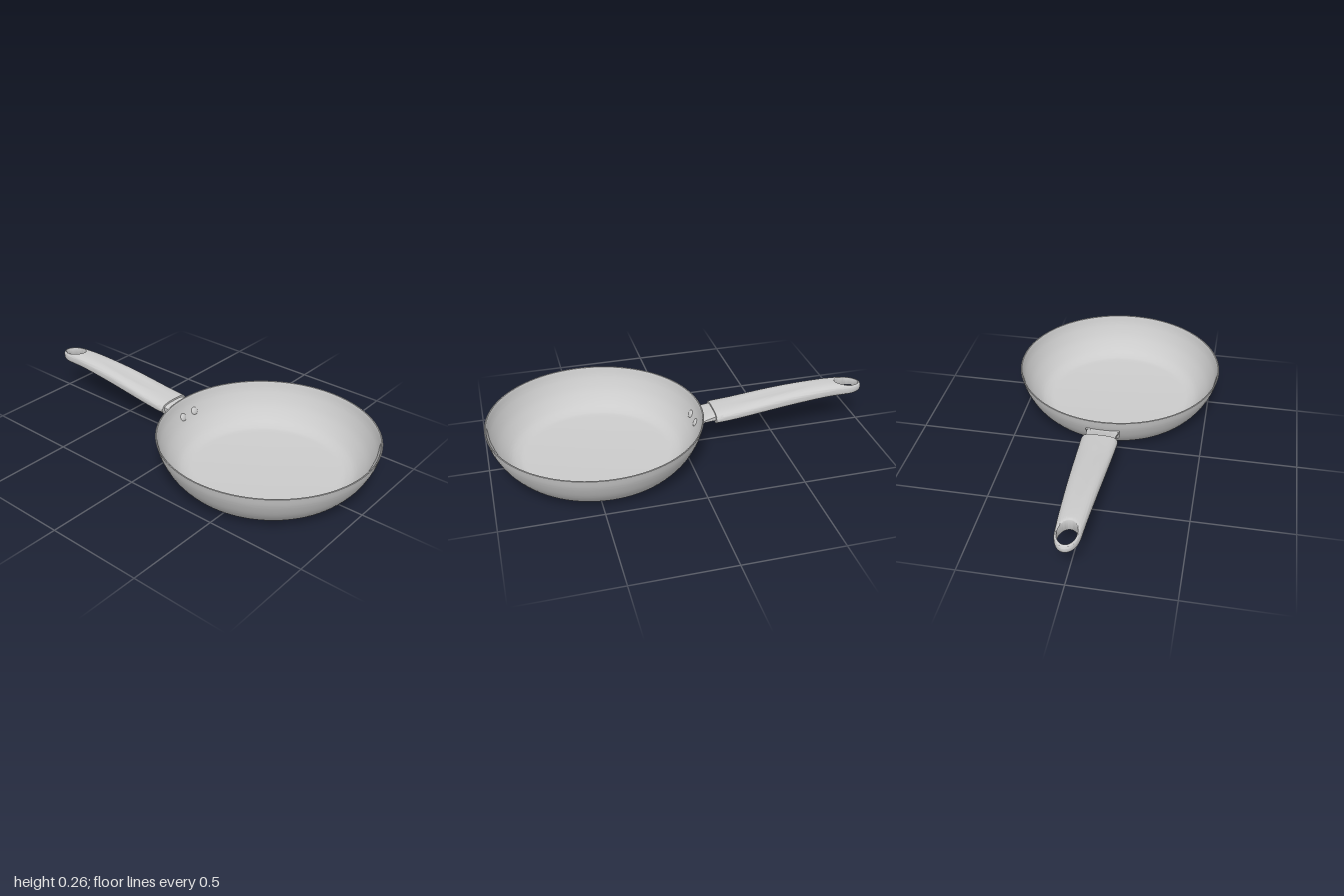
import * as THREE from 'three';
import { toCreasedNormals } from 'three/addons/utils/BufferGeometryUtils.js';

const CENTRE_Z = 0.45; // bowl axis
const V2 = (x, y) => new THREE.Vector2(x, y);
const { lerp } = THREE.MathUtils;

// Outer wall of the bowl as (radius, height)
const wall = new THREE.SplineCurve([
  V2(0.37, 0.005), V2(0.405, 0.013), V2(0.45, 0.04), V2(0.5, 0.1), V2(0.535, 0.17), V2(0.55, 0.225),
]).getPoints(40);

// Linear lookup in a list of [key, value] pairs with rising keys
function lookup(table, key) {
  let i = 1;
  while (i < table.length - 1 && table[i][0] < key) i++;
  const [k0, v0] = table[i - 1], [k1, v1] = table[i];
  return lerp(v0, v1, THREE.MathUtils.clamp((key - k0) / (k1 - k0), 0, 1));
}
const wallTable = wall.map((p) => [p.y, p.x]);
const wallRadius = (y) => lookup(wallTable, y);

function moveVertices(geometry, rule) {
  const p = geometry.attributes.position, v = new THREE.Vector3();
  for (let i = 0; i < p.count; i++) {
    rule(v.fromBufferAttribute(p, i));
    p.setXYZ(i, v.x, v.y, v.z);
  }
  geometry.computeVertexNormals();
  return toCreasedNormals(geometry, 0.7);
}

// One closed profile: grooved base, outer wall, rim, inner wall, floor
function bowlGeometry() {
  const pts = [V2(0, 0)];
  const rings = 8, pitch = 0.25 / rings;
  for (let i = 0; i < rings; i++) {
    const r = 0.11 + i * pitch, y = r > 0.25 ? 0.002 : 0;
    pts.push(V2(r, y), V2(r + 0.003, y + 0.007), V2(r + 0.01, y + 0.007), V2(r + 0.013, y));
  }
  pts.push(...wall);
  pts.push(V2(0.547, 0.227), V2(0.543, 0.225));
  for (let i = wall.length - 2; i > 0; i--) {
    const t = i / (wall.length - 1);
    pts.push(V2(wall[i].x - 0.008 - 0.002 * (1 - t), wall[i].y + 0.012 * (1 - t)));
  }
  pts.push(V2(0.35, 0.016), V2(0, 0.016));
  return toCreasedNormals(new THREE.LatheGeometry(pts, 96), 0.5);
}

// Handle: plan outline and hanging hole joined by a domed ring of sections
function handleGeometry() {
  const tipZ = -0.9, buttZ = -0.165, holeZ = -0.918, holeX = 0.045, holeR = 0.067;
  const halfWidth = (z) => {
    const t = (Math.max(z, tipZ) - tipZ) / (buttZ - tipZ);
    return 0.06 + 0.033 * t + 0.008 * t * (1 - t);
  };
  const spline = (ys) => {
    const c = new THREE.SplineCurve(ys.map(([z, y]) => V2(z, y))).getPoints(60);
    const table = c.map((p) => [p.x, p.y]);
    return (z) => lookup(table, z);
  };
  const topY = spline([[-1, 0.246], [-0.9, 0.253], [-0.78, 0.255], [-0.6, 0.246], [-0.45, 0.231], [-0.3, 0.211], [-0.165, 0.197]]);
  const lowY = spline([[-1, 0.187], [-0.9, 0.187], [-0.78, 0.189], [-0.6, 0.177], [-0.45, 0.163], [-0.3, 0.148], [-0.165, 0.138]]);

  // Right half of the outline, each point paired with an angle on the hole
  const half = [];
  for (let i = 0; i <= 14; i++) {
    const a = (i / 14) * Math.PI / 2;
    half.push([0.06 * Math.sin(a), tipZ - 0.1 * Math.cos(a), a]);
  }
  for (let i = 1; i <= 30; i++) {
    const z = lerp(tipZ, buttZ, i / 30);
    half.push([halfWidth(z), z, Math.PI * (0.5 + 0.33 * i / 30)]);
  }
  for (let i = 1; i <= 8; i++) {
    half.push([halfWidth(buttZ) * (1 - i / 8), buttZ, Math.PI * (0.83 + 0.17 * i / 8)]);
  }
  const ring = [...half, ...half.slice(1, -1).reverse().map(([x, z, a]) => [-x, z, -a])];

  // Height of the upper or lower skin over a plan point
  function skin(x, z, upper) {
    const s = Math.min(1, Math.hypot(x / halfWidth(z), Math.max(0, (tipZ - z) / 0.1)));
    const q = Math.hypot(x / holeX, (z - holeZ) / holeR);
    const lip = THREE.MathUtils.clamp((q - 1) / 0.2, 0, 1);
    const lipScale = 0.82 + 0.18 * Math.sqrt(1 - (1 - lip) ** 2);
    const p = upper ? 2.8 : 4;
    const dome = Math.max(0, 1 - s ** p) ** (1 / p) * lipScale;
    const mid = lerp(lowY(z), topY(z), 0.45);
    const grip = Math.hypot(x / 0.04, (z + 0.49) / 0.22); // shallow thumb hollow
    const dent = upper && grip < 1 ? 0.004 * (1 - grip * grip) : 0;
    return mid + ((upper ? topY(z) : lowY(z)) - mid) * dome - dent;
  }

  const n = 32, rows = 2 * (n + 1), pos = [], index = [];
  for (const [ox, oz, a] of ring) {
    const hx = holeX * Math.sin(a), hz = holeZ - holeR * Math.cos(a);
    for (let j = 0; j < rows; j++) {
      const upper = j <= n, k = upper ? j : rows - 1 - j;
      const v = (1 - Math.cos(Math.PI * k / n)) / 2;
      const x = lerp(hx, ox, v), z = lerp(hz, oz, v);
      pos.push(x, skin(x, z, upper), z);
    }
  }
  for (let i = 0; i < ring.length; i++) {
    for (let j = 0; j < rows; j++) {
      const i1 = (i + 1) % ring.length, j1 = (j + 1) % rows;
      const a = i * rows + j, b = i1 * rows + j, c = i * rows + j1, d = i1 * rows + j1;
      index.push(a, b, c, b, d, c);
    }
  }
  const g = new THREE.BufferGeometry();
  g.setAttribute('position', new THREE.Float32BufferAttribute(pos, 3));
  g.setIndex(index);
  return toCreasedNormals(g, 0.7);
}

// Mounting plate bent round the bowl wall, with rounded lower corners
function plateGeometry() {
  return moveVertices(new THREE.BoxGeometry(0.17, 0.075, 0.014, 16, 10, 1), (v) => {
    const low = Math.max(0, (-v.y - 0.0075) / 0.03);
    const x = v.x * (1 - 0.3 * (1 - Math.sqrt(Math.max(0, 1 - low * low))));
    const y = v.y + 0.128, r = wallRadius(y) + 0.004 - v.z, phi = x / 0.52;
    v.set(r * Math.sin(phi), y, CENTRE_Z - r * Math.cos(phi));
  });
}

// Neck flaring from the plate into the handle butt
function neckGeometry() {
  return moveVertices(new THREE.BoxGeometry(2, 1, 1, 16, 4, 8), (v) => {
    const t = 0.5 - v.z; // 0 at the bowl, 1 inside the handle
    const edge = 1 - 0.5 * Math.abs(v.x) ** 4;
    const x = v.x * lerp(0.085, 0.074, Math.sin(t * Math.PI / 2));
    const thick = lerp(0.014, 0.042, t * t * (3 - 2 * t)) * edge;
    const start = CENTRE_Z - Math.sqrt(0.532 ** 2 - x * x);
    v.set(x, lerp(0.157, 0.168, t) + v.y * thick, lerp(start, -0.175, t));
  });
}

export function createModel() {
  const group = new THREE.Group();
  const material = new THREE.MeshStandardMaterial({ color: 0xcccccc });
  const add = (name, geometry) => {
    const mesh = new THREE.Mesh(geometry, material);
    mesh.name = name;
    group.add(mesh);
    return mesh;
  };

  add('bowl', bowlGeometry()).position.z = CENTRE_Z;
  add('handle', handleGeometry());
  add('mountingPlate', plateGeometry());
  add('neck', neckGeometry());

  // Two rivets, with a domed head on each side of the wall
  const head = new THREE.SphereGeometry(0.021, 20, 8, 0, Math.PI * 2, 0, Math.PI / 2);
  head.scale(1, 0.45, 1);
  const up = new THREE.Vector3(0, 1, 0);
  for (const side of [-1, 1]) {
    for (const [name, y, offset, dir] of [['innerRivet', 0.143, -0.009, -1], ['outerRivet', 0.122, 0.01, 1]]) {
      const phi = side * 0.045 / 0.52, r = wallRadius(y) + offset;
      const normal = new THREE.Vector3(Math.sin(phi), -0.5, -Math.cos(phi)).normalize().multiplyScalar(dir);
      const rivet = add(name, head);
      rivet.position.set(r * Math.sin(phi), y, CENTRE_Z - r * Math.cos(phi));
      rivet.quaternion.setFromUnitVectors(up, normal);
    }
  }
  return group;
}
